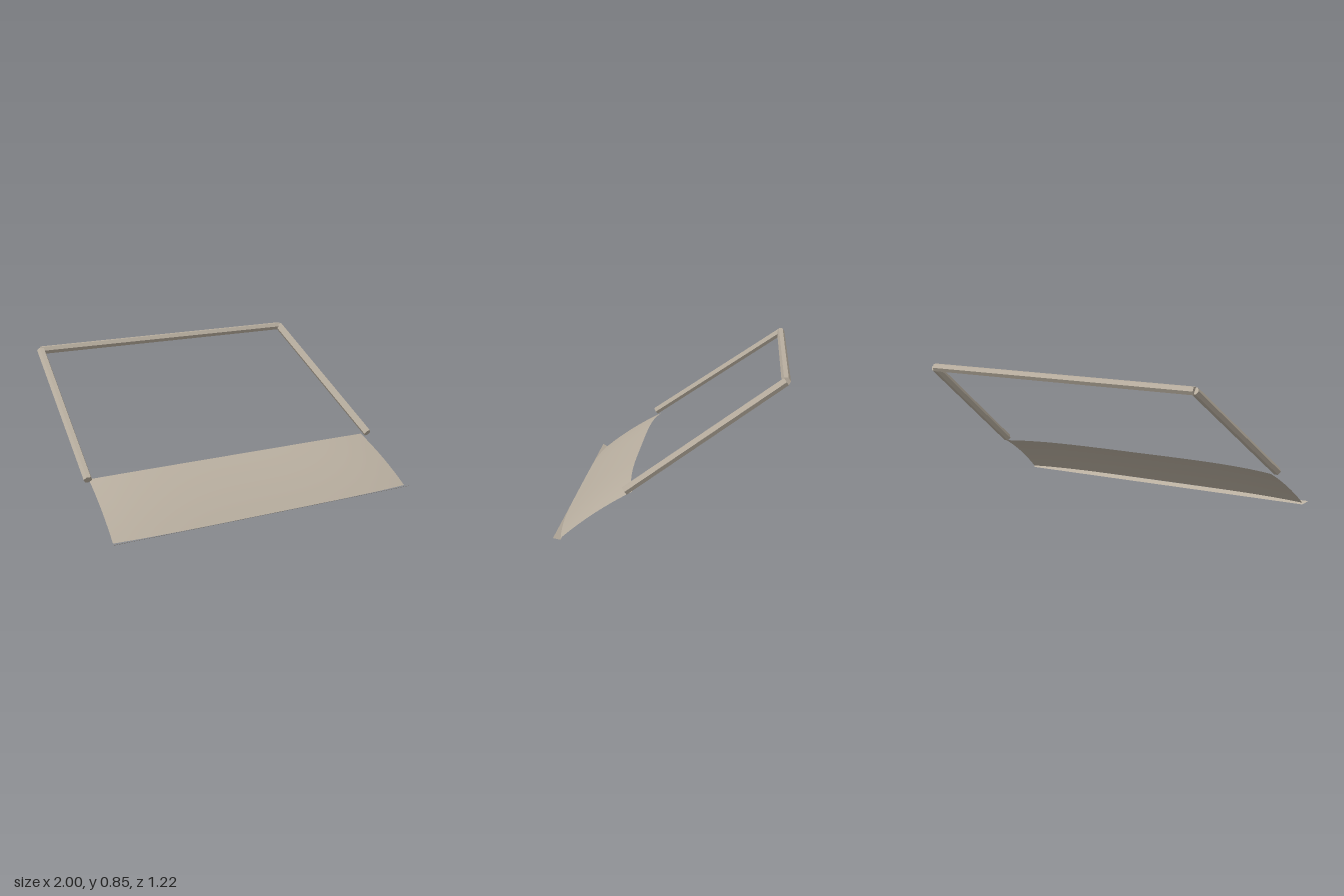
import * as THREE from 'three';

const frameMaterial = new THREE.MeshStandardMaterial({ color: 0xb8ae9f });
frameMaterial.name = 'warm grey';
frameMaterial.side = THREE.DoubleSide;
frameMaterial.flatShading = false;

// Hexagonal bar between two points, one of its ridges facing the given direction
function bar(name, from, to, ridge) {
  const axis = to.clone().sub(from);
  const geometry = new THREE.CylinderGeometry(0.024, 0.024, axis.length(), 6).toNonIndexed();
  geometry.computeVertexNormals();
  const y = axis.normalize();
  const z = ridge.clone().addScaledVector(y, -ridge.dot(y)).normalize();
  const x = new THREE.Vector3().crossVectors(y, z);
  const mesh = new THREE.Mesh(geometry, frameMaterial);
  mesh.name = name;
  mesh.quaternion.setFromRotationMatrix(new THREE.Matrix4().makeBasis(x, y, z));
  mesh.position.copy(from).add(to).multiplyScalar(0.5);
  return mesh;
}

// Sheet whose surface follows place(u, t): u is -1..1 across, t is 0..1 upward
function sheet(name, columns, rows, place) {
  const geometry = new THREE.PlaneGeometry(2, 1, columns, rows);
  const p = geometry.attributes.position;
  for (let i = 0; i < p.count; i++) {
    p.setXYZ(i, ...place(p.getX(i), p.getY(i) + 0.5));
  }
  geometry.computeVertexNormals();
  const mesh = new THREE.Mesh(geometry, frameMaterial);
  mesh.name = name;
  return mesh;
}

export function createModel() {
  const model = new THREE.Group();
  model.name = 'slopedFrame';

  // Curved sloping panel, its ends swept back
  model.add(sheet('frontPanel', 24, 8, (u, t) => {
    const sweep = u ** 4;
    const bulge = 4 * t * (1 - t) * 0.013;
    return [
      u * (0.978 - 0.046 * t),
      THREE.MathUtils.lerp(0.017 - 0.006 * sweep, 0.27 - 0.015 * sweep, t) + bulge * 0.82,
      THREE.MathUtils.lerp(0.606 - 0.037 * sweep, 0.24 - 0.042 * sweep, t) + bulge * 0.57,
    ];
  }));

  // Thin flat lip under the panel's lower edge
  model.add(sheet('lowerLip', 1, 1, (u, t) => [
    u * (1 - 0.022 * t), 0.016 * (1 - t), 0.606 - 0.036 * t,
  ]));

  // Inclined side bars and the rear crossbar
  const across = new THREE.Vector3(1, 0, 0);
  const corner = (side) => new THREE.Vector3(side * 0.848, 0.83, -0.59);
  for (const side of [-1, 1]) {
    const foot = new THREE.Vector3(side * 0.954, 0.265, 0.235);
    model.add(bar(side > 0 ? 'leftBar' : 'rightBar', foot, corner(side), across));
  }
  model.add(bar('crossbar', corner(-1), corner(1), new THREE.Vector3(0, 0, 1)));

  return model;
}
